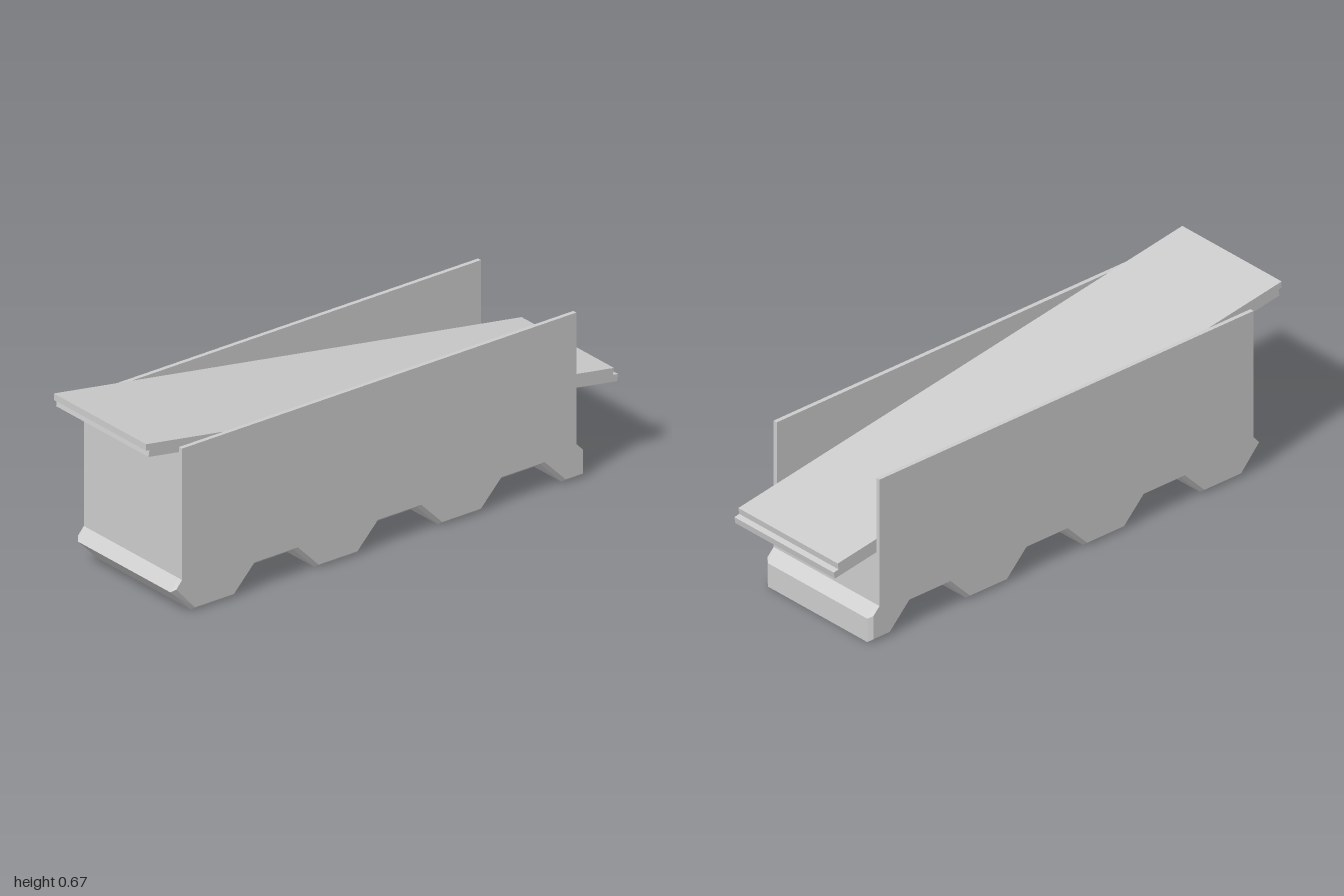
import * as THREE from 'three';

const HALF = 0.247;    // half width between the side panels
const OUTER = 0.263;   // half width over the side panels
const C = 0.013;       // chamfer along the toothed edge
const PITCH = 0.523;

const material = new THREE.MeshStandardMaterial({ color: 0xcccccc, flatShading: true });

// Toothed lower edge, left to right; c insets it for the chamfered face.
function toothedEdge(c) {
  const k = c * 0.41;
  const pts = [[-0.86, 0.13], [-0.898 + c, 0.09 + c * 0.9]];
  for (let i = 0; i < 3; i++) {
    const x = -0.81 + i * PITCH;
    pts.push(
      [x + k, c], [x + 0.175 - k, c],
      [x + 0.262 - k, 0.09 + c], [x + 0.435 + k, 0.09 + c],
    );
  }
  pts.push([-0.81 + 3 * PITCH + k, c], [0.85 - c, c], [0.85 - c, 0.09 + c * 0.9], [0.81, 0.13]);
  return pts;
}

// Closed solid between two outlines with equal point counts (z0 < z1).
function loft(ringA, z0, ringB, z1) {
  const n = ringA.length;
  const pos = [];
  const A = (i) => [...ringA[i % n], z0];
  const B = (i) => [...ringB[i % n], z1];
  for (let i = 0; i < n; i++) {
    pos.push(...A(i), ...A(i + 1), ...B(i + 1), ...A(i), ...B(i + 1), ...B(i));
  }
  const cap = (ring) => THREE.ShapeUtils.triangulateShape(ring.map((p) => new THREE.Vector2(...p)), []);
  for (const [a, b, c] of cap(ringA)) pos.push(...A(a), ...A(c), ...A(b));
  for (const [a, b, c] of cap(ringB)) pos.push(...B(a), ...B(b), ...B(c));
  const geo = new THREE.BufferGeometry();
  geo.setAttribute('position', new THREE.Float32BufferAttribute(pos, 3));
  geo.computeVertexNormals();
  return geo;
}

export function createModel() {
  const group = new THREE.Group();
  const add = (name, geo) => {
    const mesh = new THREE.Mesh(geo, material);
    mesh.name = name;
    group.add(mesh);
  };

  // Solid body under the ramp
  const core = [...toothedEdge(0), [0.81, 0.35], [-0.86, 0.615]];
  add('body', loft(core, -HALF, core, HALF));

  // Side panels with a chamfered toothed edge
  const top = [[0.81, 0.615], [-0.86, 0.615]];
  const inner = [...toothedEdge(0), ...top];
  const outer = [...toothedEdge(C), ...top];
  add('frontPanel', loft(inner, HALF, outer, OUTER));
  add('backPanel', loft(outer, -OUTER, inner, -HALF));

  // Sloping deck with lapped ends
  const deck = [
    [-0.99, 0.617], [0.995, 0.3], [1, 0.325], [0.978, 0.329],
    [0.982, 0.353], [-1, 0.667], [-1, 0.643], [-0.986, 0.641],
  ];
  add('ramp', loft(deck, -HALF, deck, HALF));

  return group;
}
